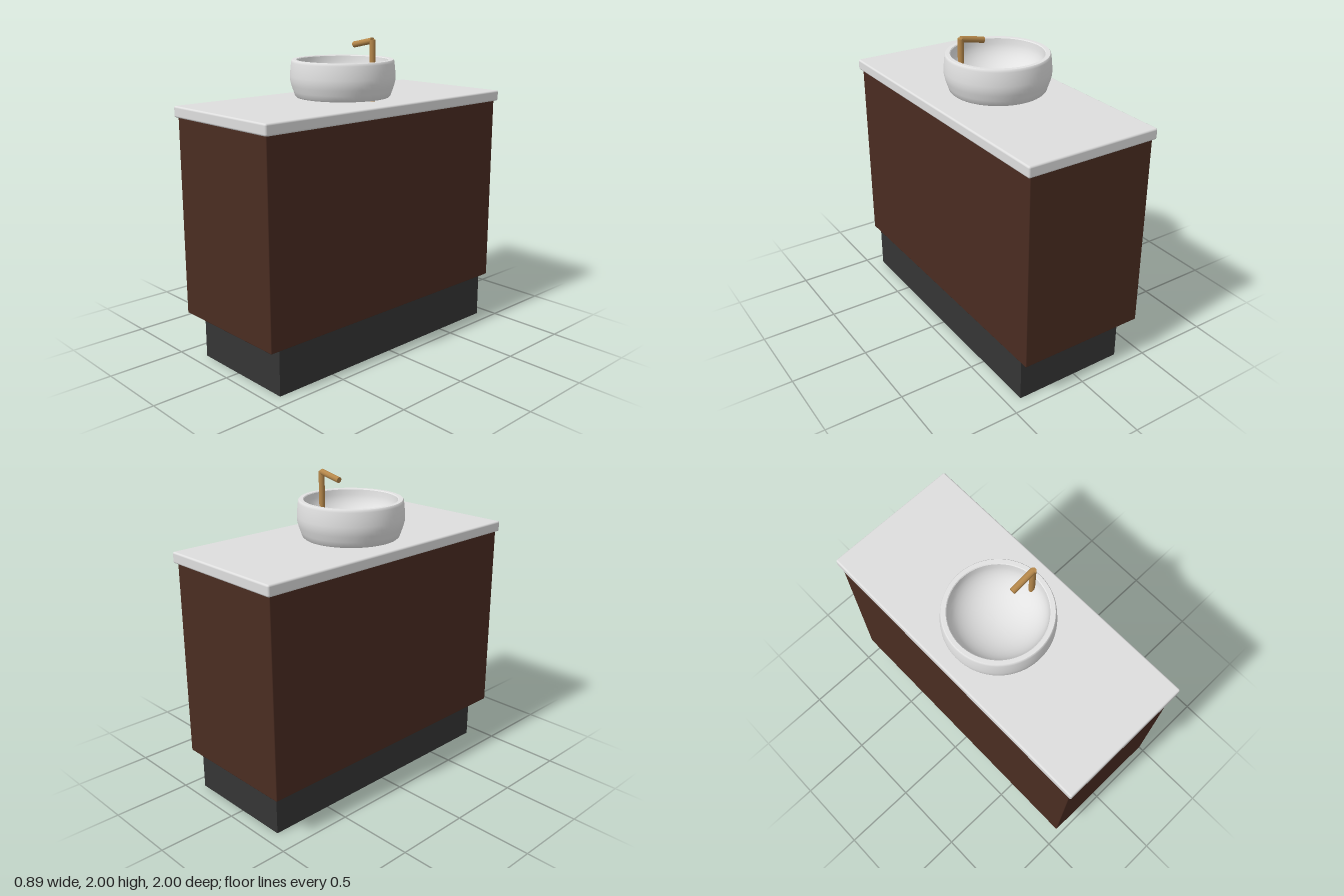
import * as THREE from 'three';
import { RoundedBoxGeometry } from 'three/addons/geometries/RoundedBoxGeometry.js';
import { toCreasedNormals } from 'three/addons/utils/BufferGeometryUtils.js';

const material = (name, color, side = THREE.FrontSide) => {
  const m = new THREE.MeshStandardMaterial({ color, side });
  m.name = name;
  return m;
};

export function createModel() {
  const group = new THREE.Group();
  const wood = material('dark wood', 0x4a2c21);
  const plinthGrey = material('plinth grey', 0x353535);
  const stone = material('white stone', 0xdedede);
  const ceramic = material('white ceramic', 0xe2e2e2);
  const brass = material('brass', 0xb5874a);

  const add = (name, geometry, mat, x = 0, y = 0, z = 0) => {
    const mesh = new THREE.Mesh(geometry, mat);
    mesh.name = name;
    mesh.position.set(x, y, z);
    group.add(mesh);
    return mesh;
  };

  // Cabinet on a recessed plinth
  add('plinth', new THREE.BoxGeometry(0.746, 0.29, 1.82), plinthGrey, 0.034, 0.145);
  add('cabinet', new RoundedBoxGeometry(0.852, 1.25, 1.96, 2, 0.005), wood, -0.003, 0.915);
  add('countertop', new RoundedBoxGeometry(0.892, 0.07, 2, 3, 0.012), stone, 0, 1.575);

  // Basin: outer wall, rim and rounded hollow, turned in one profile
  const outer = [
    [0, 1.617], [0.298, 1.617], [0.306, 1.625], [0.316, 1.655], [0.328, 1.69],
    [0.335, 1.72], [0.336, 1.75], [0.333, 1.79], [0.328, 1.835], [0.325, 1.848],
    [0.321, 1.852], [0.296, 1.852], [0.291, 1.847],
  ];
  const inner = [];
  for (let i = 0; i <= 12; i++) {
    const a = (i / 12) * Math.PI / 2;
    inner.push([0.29 * Math.cos(a), 1.84 - 0.2 * Math.sin(a)]);
  }
  inner[12][0] = 0;
  const profile = [...outer, ...inner].map(([r, y]) => new THREE.Vector2(r, y));
  add('basin', toCreasedNormals(new THREE.LatheGeometry(profile, 64), 0.6), ceramic, -0.036);

  // Tap: upright pipe and sloping spout
  const radius = 0.019;
  const pipe = (name, from, to) => {
    const dir = new THREE.Vector3().subVectors(to, from);
    const mesh = add(name, new THREE.CylinderGeometry(radius, radius, dir.length(), 24), brass);
    mesh.position.addVectors(from, to).multiplyScalar(0.5);
    mesh.quaternion.setFromUnitVectors(new THREE.Vector3(0, 1, 0), dir.normalize());
  };
  pipe('tapPipe', new THREE.Vector3(0.23, 1.605, 0), new THREE.Vector3(0.23, 1.985, 0));
  pipe('tapSpout', new THREE.Vector3(0.07, 1.949, 0), new THREE.Vector3(0.229, 1.981, 0));

  return group;
}
